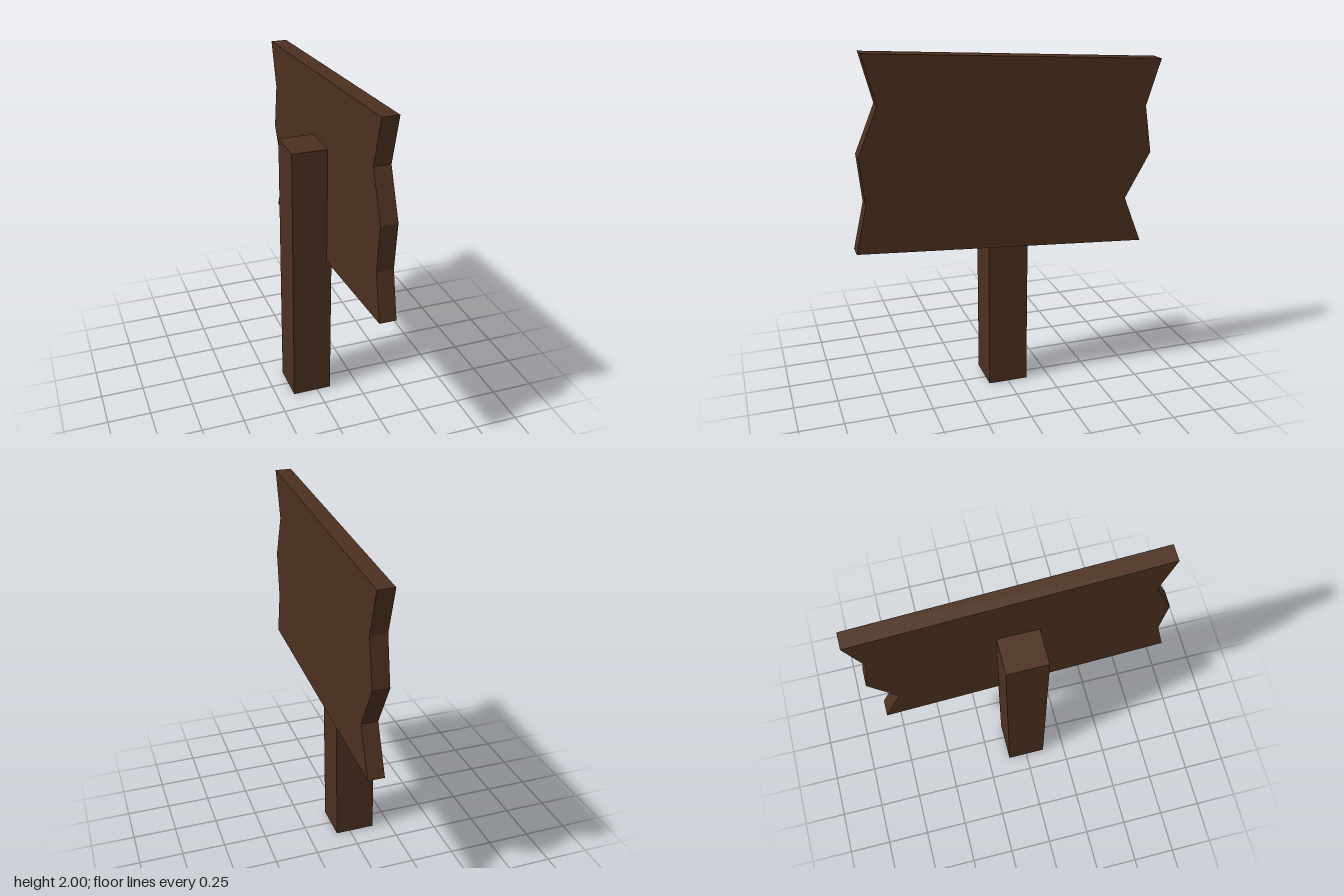
import * as THREE from 'three';

export function createModel() {
  const group = new THREE.Group();
  const wood = new THREE.MeshStandardMaterial({ color: 0x4b301f, flatShading: true });

  // Upright square post
  const post = new THREE.Mesh(new THREE.BoxGeometry(0.23, 1.575, 0.23), wood);
  post.name = 'post';
  post.position.set(-0.032, 0.7875, 0);
  group.add(post);

  // Tilted board with jagged ends, outlined side-on and extruded along x
  const outline = [
    [-0.863, 0.943], [0.787, 0.83], [0.68, 1.1], [0.825, 1.36], [0.782, 1.63],
    [0.863, 1.887], [-0.79, 2], [-0.72, 1.73], [-0.828, 1.47], [-0.803, 1.205],
  ].map(([x, y]) => new THREE.Vector2(x, y));
  const boardGeometry = new THREE.ExtrudeGeometry(new THREE.Shape(outline), {
    depth: 0.092, bevelEnabled: false,
  });
  boardGeometry.rotateY(Math.PI / 2);
  const board = new THREE.Mesh(boardGeometry, wood);
  board.name = 'signBoard';
  board.position.x = 0.054;
  group.add(board);

  return group;
}
